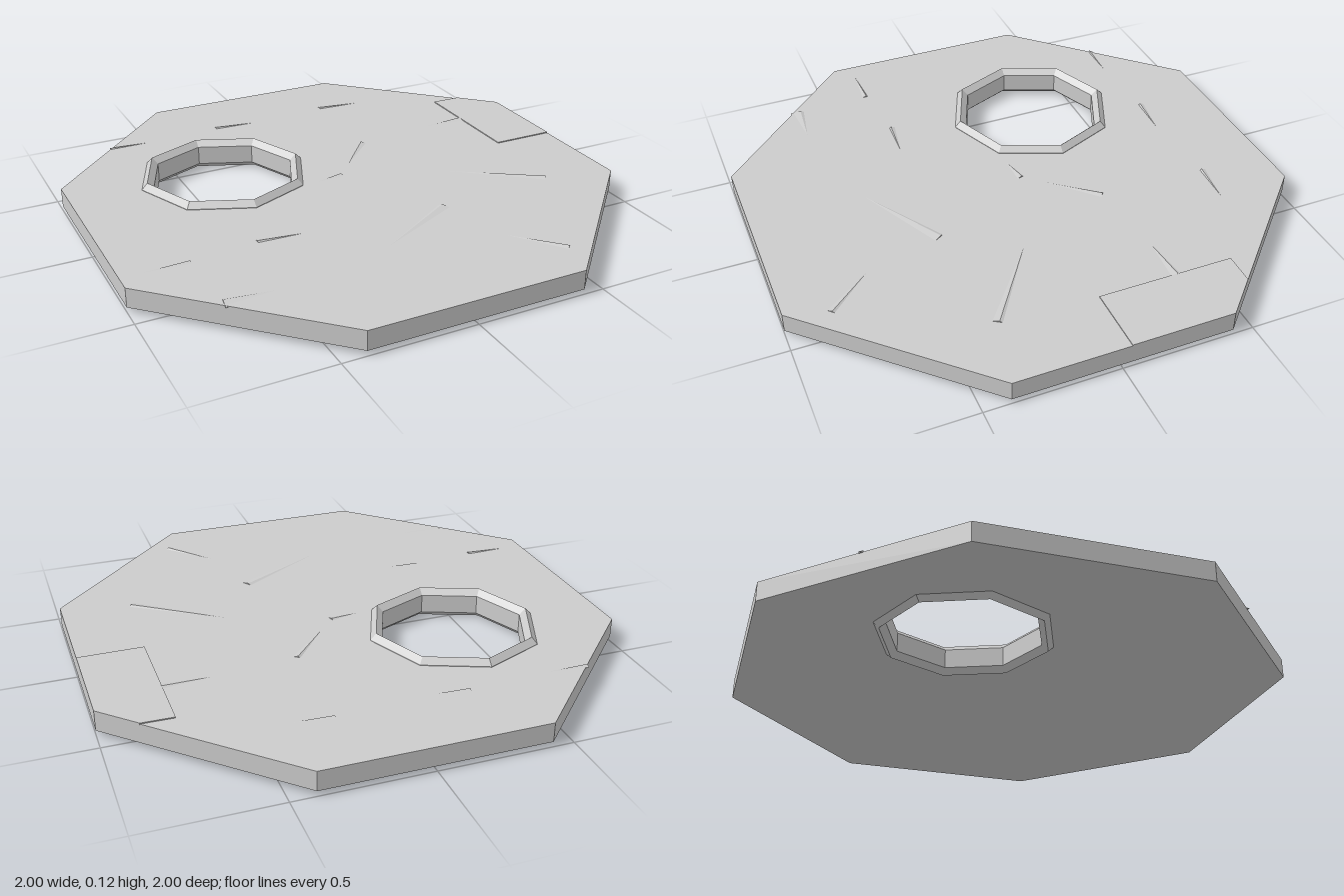
import * as THREE from 'three';
import { ConvexGeometry } from 'three/addons/geometries/ConvexGeometry.js';

const SLAB_BOTTOM = 0.02, SLAB_TOP = 0.094;
const HOLE = { x: -0.39, z: -0.26 };

const material = new THREE.MeshStandardMaterial({ color: 0xcccccc, flatShading: true });

function add(group, name, geometry) {
  const mesh = new THREE.Mesh(geometry, material);
  mesh.name = name;
  group.add(mesh);
  return mesh;
}

// Extrudes a floor-plan outline of [x, z] points upward from y
function plate(outline, y, height, hole) {
  const toPoints = (pts) => pts.map(([x, z]) => new THREE.Vector2(x, -z));
  const shape = new THREE.Shape(toPoints(outline));
  if (hole) shape.holes.push(new THREE.Path(toPoints(hole)));
  const geometry = new THREE.ExtrudeGeometry(shape, { depth: height, bevelEnabled: false });
  return geometry.rotateX(-Math.PI / 2).translate(0, y, 0);
}

// Shallow tapering chip: pointed at a, widest and highest at b
function chip(ax, az, bx, bz, width) {
  const length = Math.hypot(bx - ax, bz - az);
  const nx = -(bz - az) / length * width, nz = (bx - ax) / length * width;
  const y = SLAB_TOP - 0.002;
  return new ConvexGeometry([
    new THREE.Vector3(ax, y, az),
    new THREE.Vector3(bx, y, bz),
    new THREE.Vector3(bx + nx, y, bz + nz),
    new THREE.Vector3(bx + nx * 0.3, SLAB_TOP + 0.005, bz + nz * 0.3),
  ]);
}

export function createModel() {
  const model = new THREE.Group();
  model.name = 'floorPlatform';

  // Octagonal floor with an off-centre octagonal opening
  const outline = [[-0.42, -1], [0.41, -1], [1, -0.42], [1, 0.4],
    [0.42, 1], [-0.41, 1], [-1, 0.42], [-1, -0.41]];
  const opening = Array.from({ length: 8 }, (_, i) => {
    const a = i * Math.PI / 4;
    return [HOLE.x + 0.31 * Math.cos(a), HOLE.z + 0.31 * Math.sin(a)];
  });
  add(model, 'floorSlab', plate(outline, SLAB_BOTTOM, SLAB_TOP - SLAB_BOTTOM, opening));

  // Chamfered frame lining the opening
  const profile = [[0.312, 0], [0.335, 0.022], [0.335, 0.096], [0.312, 0.12],
    [0.287, 0.096], [0.287, 0.022], [0.312, 0]].map(([r, y]) => new THREE.Vector2(r, y));
  add(model, 'openingFrame', new THREE.LatheGeometry(profile, 8)).position.set(HOLE.x, 0, HOLE.z);

  // Slightly lifted board at the edge
  add(model, 'looseBoard', plate(
    [[0.75, -0.55], [0.75, -0.03], [1, -0.03], [1, -0.42], [0.87, -0.548]], SLAB_TOP - 0.01, 0.014));

  // Worn chips at the plank ends and diagonal splits
  const chips = [
    [-0.01, -0.69, -0.25, -0.7, 0.03], [0.49, -0.7, 0.25, -0.71, 0.03],
    [-0.5, -0.69, -0.72, -0.69, 0.02], [0.5, -0.32, 0.75, -0.35, 0.05],
    [-0.98, 0.35, -0.75, 0.34, 0.03], [-0.25, 0.34, -0.49, 0.33, 0.03],
    [-0.5, 0.66, -0.74, 0.62, -0.06], [0.03, -0.05, 0.23, -0.3, 0.04],
    [-0.22, 0.63, 0.23, 0.35, 0.06], [0.27, 0.01, 0.74, 0.32, 0.05],
    [0.26, 0.6, 0.48, 0.83, 0.04], [-0.13, -0.02, 0.02, -0.06, 0.04],
  ];
  chips.forEach((c) => add(model, 'floorChip', chip(...c)));

  return model;
}
